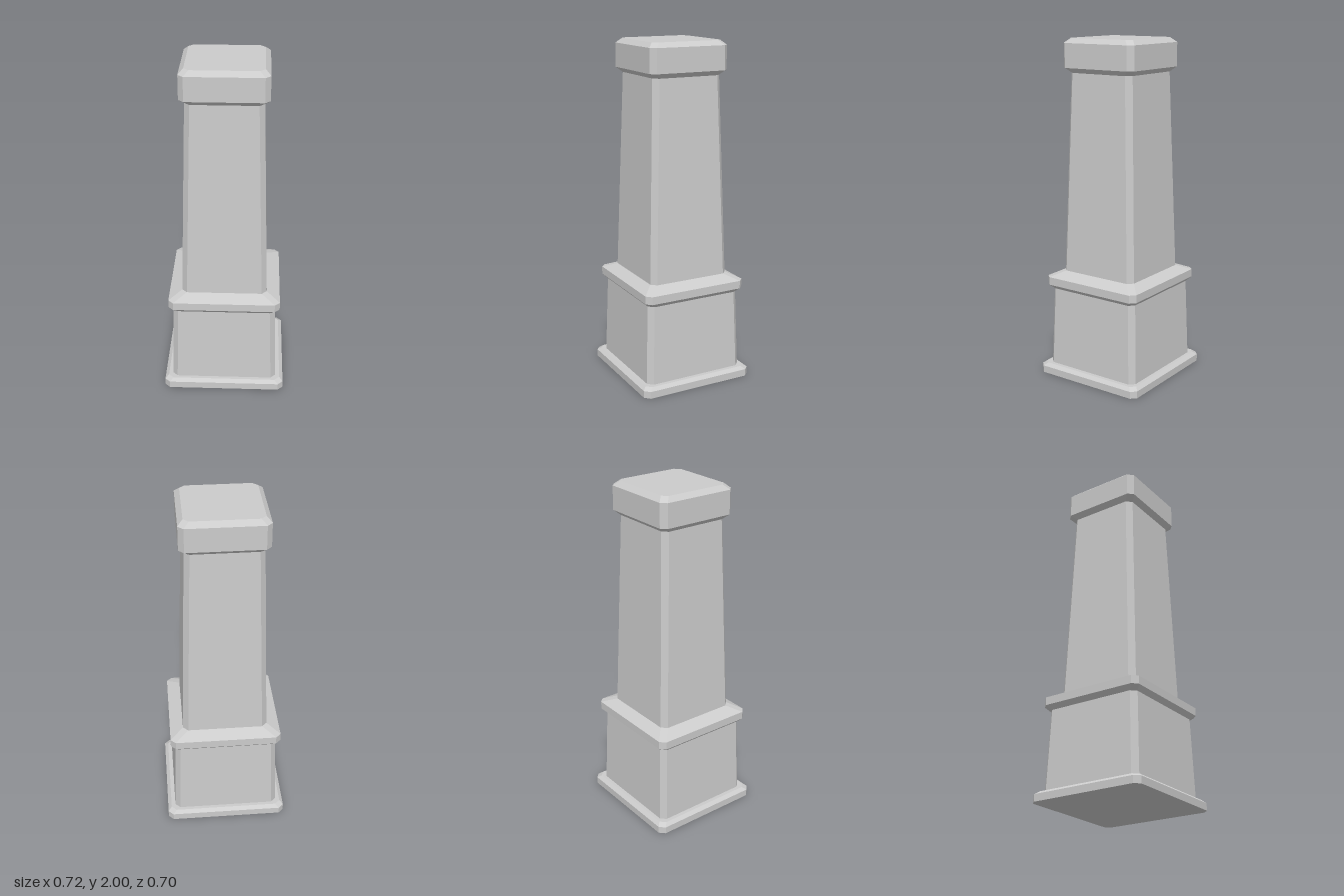
import * as THREE from 'three';

const material = new THREE.MeshStandardMaterial({ color: 0xcccccc, flatShading: true });

// Rectangle with chamfered corners: half width w, half depth d, chamfer c, height y
function ring([y, w, d, c = 0.03]) {
  return [
    [-w + c, y, d], [w - c, y, d], [w, y, d - c], [w, y, -d + c],
    [w - c, y, -d], [-w + c, y, -d], [-w, y, -d + c], [-w, y, d - c],
  ];
}

// Skin a stack of rings from bottom to top, optionally closing the ends
function stack(name, sections, closeBottom = false, closeTop = false) {
  const rings = sections.map(ring);
  const n = 8, index = [];
  for (let r = 0; r < rings.length - 1; r++) {
    for (let i = 0; i < n; i++) {
      const a = r * n + i, b = r * n + (i + 1) % n;
      index.push(a, b, b + n, a, b + n, a + n);
    }
  }
  const top = (rings.length - 1) * n;
  for (let i = 1; i < n - 1; i++) {
    if (closeBottom) index.push(0, i + 1, i);
    if (closeTop) index.push(top, top + i, top + i + 1);
  }
  const indexed = new THREE.BufferGeometry();
  indexed.setAttribute('position', new THREE.Float32BufferAttribute(rings.flat(2), 3));
  indexed.setIndex(index);
  const geometry = indexed.toNonIndexed();
  geometry.computeVertexNormals();
  const mesh = new THREE.Mesh(geometry, material);
  mesh.name = name;
  return mesh;
}

export function createModel() {
  const group = new THREE.Group();
  group.name = 'pillar';
  group.add(
    // Foot slab with bevelled rim and a narrow ledge
    stack('foot', [
      [0, 0.361, 0.35], [0.042, 0.361, 0.35], [0.059, 0.34, 0.329], [0.059, 0.316, 0.308],
    ], true),
    // Tapered pedestal
    stack('pedestal', [[0.059, 0.316, 0.308], [0.53, 0.302, 0.293]]),
    // Projecting band with sloped top
    stack('moulding', [
      [0.53, 0.302, 0.293], [0.556, 0.329, 0.319], [0.603, 0.329, 0.319], [0.637, 0.251, 0.249],
    ]),
    // Long tapered shaft
    stack('shaft', [[0.637, 0.251, 0.249], [1.806, 0.217, 0.212]]),
    // Cap block, bevelled above and below
    stack('cap', [
      [1.806, 0.217, 0.212], [1.834, 0.246, 0.243], [1.973, 0.246, 0.243], [2, 0.217, 0.214],
    ], false, true),
  );
  return group;
}
